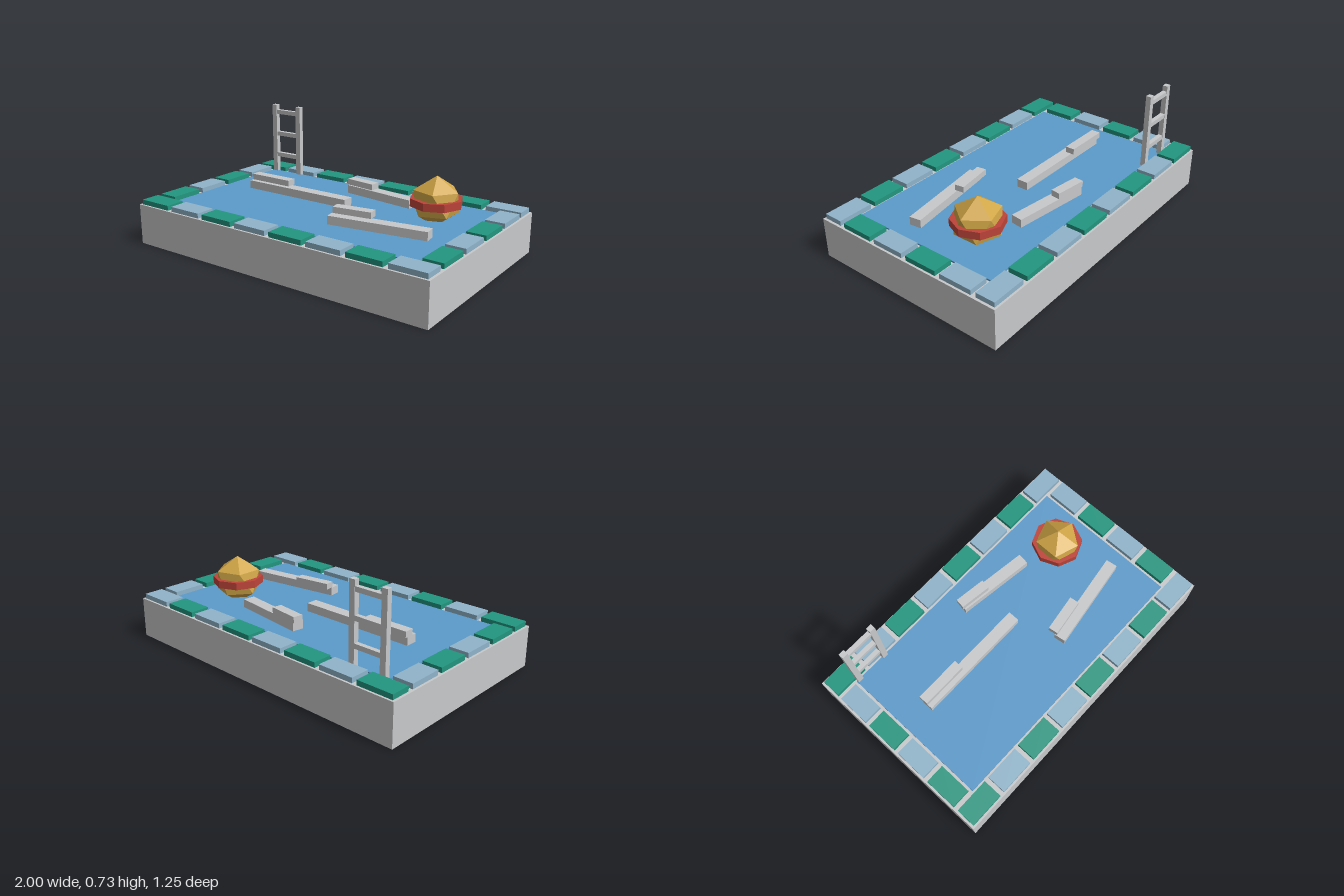
import * as THREE from 'three';

const mat = (name, color, flatShading = false) => {
  const m = new THREE.MeshStandardMaterial({ color, flatShading });
  m.name = name;
  return m;
};

export function createModel() {
  const stone = mat('light grey stone', 0xc8c9cb);
  const green = mat('green tile', 0x22967f);
  const paleBlue = mat('pale blue tile', 0x90b4ca);
  const blue = mat('water blue', 0x5b9bca);
  const gold = mat('gold', 0xd0a546, true);
  const red = mat('red', 0xbe443a, true);

  const model = new THREE.Group();
  model.name = 'pool';

  const group = (name) => {
    const g = new THREE.Group();
    g.name = name;
    model.add(g);
    return g;
  };
  const add = (parent, name, geometry, material, x, y, z, turn = 0) => {
    const mesh = new THREE.Mesh(geometry, material);
    mesh.name = name;
    mesh.position.set(x, y, z);
    mesh.rotation.y = turn;
    parent.add(mesh);
    return mesh;
  };
  // Box given by its size, bottom height and centre
  const box = (parent, name, material, [w, h, d], x, bottom, z, turn) =>
    add(parent, name, new THREE.BoxGeometry(w, h, d), material, x, bottom + h / 2, z, turn);

  // Basin and water surface
  box(model, 'basin', stone, [2, 0.25, 1.245], 0, 0, 0);
  box(model, 'water', blue, [1.7, 0.009, 0.95], 0, 0.25, 0);

  // Alternating rim tiles: long sides, then short sides
  const tiles = group('rimTiles');
  for (const side of [-1, 1]) {
    for (let i = 0; i < 8; i++) {
      box(tiles, 'longSideTile', i % 2 ? paleBlue : green, [0.22, 0.03, 0.12],
        -0.875 + 0.25 * i, 0.25, side * 0.55);
    }
    for (let i = 0; i < 4; i++) {
      box(tiles, 'shortSideTile', i % 2 ? green : paleBlue, [0.12, 0.03, 0.206],
        side * 0.927, 0.25, -0.357 + 0.2375 * i);
    }
  }

  // Ladder at the back
  const ladder = group('ladder');
  for (const x of [-0.826, -0.624]) {
    box(ladder, 'ladderPost', stone, [0.036, 0.477, 0.032], x, 0.25, -0.475);
  }
  for (const y of [0.364, 0.513, 0.665]) {
    box(ladder, 'ladderRung', stone, [0.17, 0.028, 0.028], -0.725, y, -0.475);
  }

  // Floating beams, each with a shorter block on its left end
  const beams = [
    { long: [0.745, -0.30, -0.055], short: [0.295, -0.527, -0.08], turn: 0 },
    { long: [0.49, 0.152, -0.302], short: [0.2, 0.0, -0.328], turn: -0.13 },
    { long: [0.595, 0.45, 0.198], short: [0.237, 0.27, 0.172], turn: 0.145 },
  ];
  for (const { long, short, turn } of beams) {
    const beam = group('floatingBeam');
    box(beam, 'longBeam', stone, [long[0], 0.055, 0.072], long[1], 0.255, long[2], turn);
    box(beam, 'shortBlock', stone, [short[0], 0.037, 0.06], short[1], 0.31, short[2], turn);
  }

  // Faceted buoy, one corner straight up, with a band around its middle
  const buoy = group('buoy');
  const ball = new THREE.IcosahedronGeometry(0.15, 0);
  ball.rotateZ(-Math.atan(2 / (1 + Math.sqrt(5))));
  add(buoy, 'buoyBall', ball, gold, 0.6, 0.361, -0.175);
  add(buoy, 'buoyBand', new THREE.CylinderGeometry(0.155, 0.155, 0.046, 8), red, 0.6, 0.361, -0.175);

  return model;
}
